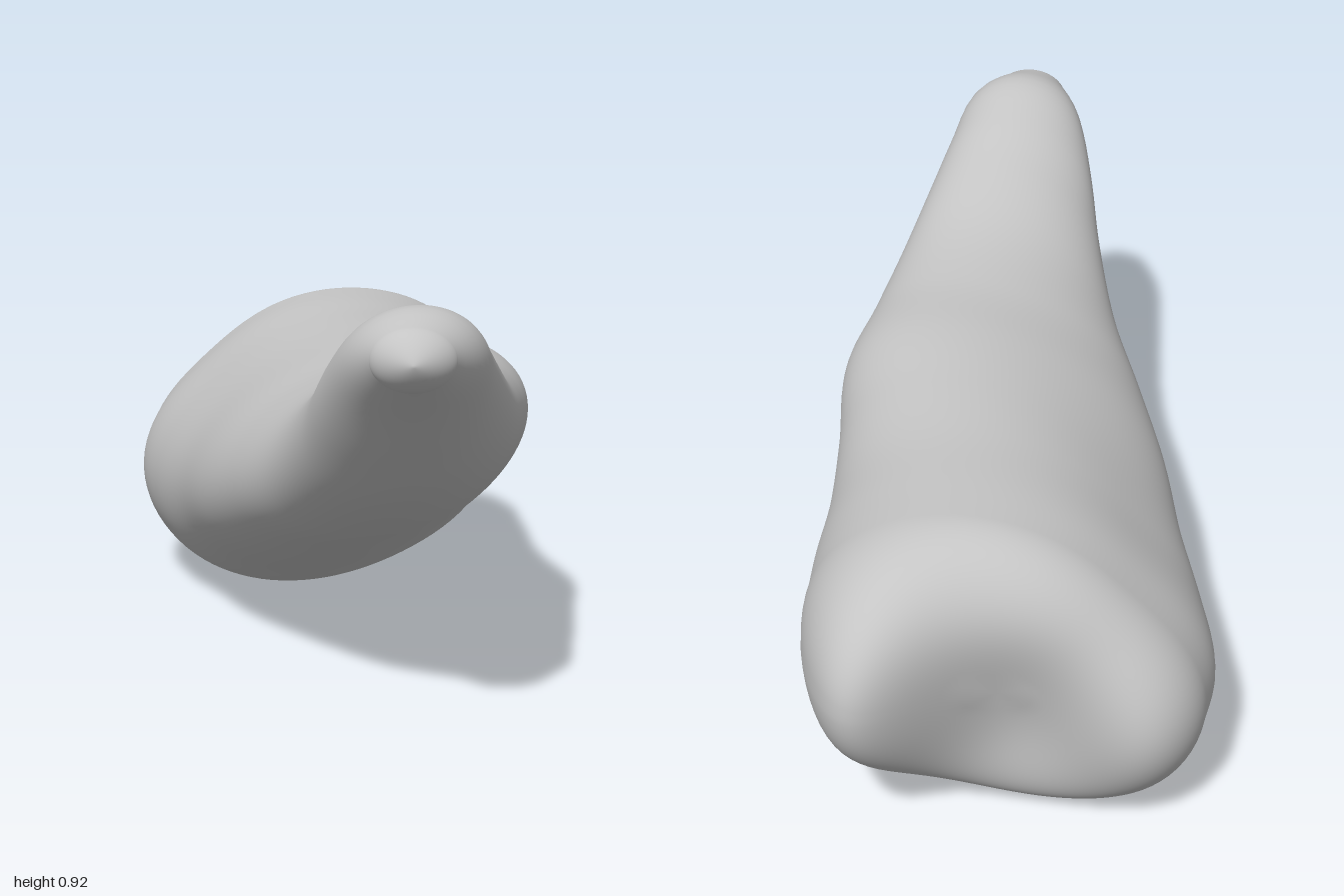
import * as THREE from 'three';
import { mergeVertices } from 'three/addons/utils/BufferGeometryUtils.js';

// Cross-sections along z: [z, xMin, xMax, yMin, yMax, lean]
const SECTIONS = [
  [-0.7, -0.45, 0.38, 0.012, 0.682, 0.2],
  [-0.58, -0.455, 0.393, 0.0, 0.682, 0.2],
  [-0.4, -0.41, 0.4, 0.02, 0.68, 0.23],
  [-0.2, -0.34, 0.42, 0.1, 0.69, 0.3],
  [0.0, -0.28, 0.45, 0.18, 0.705, 0.36],
  [0.2, -0.2, 0.43, 0.265, 0.71, 0.36],
  [0.4, -0.11, 0.405, 0.35, 0.745, 0.32],
  [0.6, -0.04, 0.37, 0.47, 0.825, 0.24],
  [0.72, -0.005, 0.345, 0.575, 0.88, 0.16],
  [0.84, 0.04, 0.318, 0.69, 0.918, 0.08],
  [0.94, 0.095, 0.262, 0.768, 0.895, 0.0],
];
const BACK = SECTIONS[0][0];
const FRONT = SECTIONS[SECTIONS.length - 1][0];
const SIDES = 96;

const spline = new THREE.CubicInterpolant(
  SECTIONS.map((s) => s[0]), SECTIONS.flatMap((s) => s.slice(1)), 5, new Float32Array(5));

const bump = (x, y, cx, cy, rx, ry) => Math.exp(-(((x - cx) / rx) ** 2) - ((y - cy) / ry) ** 2);

// Point on the leaning oval at depth z, scaled about its centre;
// the crown is flatter at its upper right side and fuller opposite
function ovalPoint(z, angle, scale) {
  const [x0, x1, y0, y1, lean] = spline.evaluate(z);
  const crown = 1 - THREE.MathUtils.smoothstep(z, -0.5, 0.1);
  const r = scale * (1 + crown * (0.05 * bump(angle, 0, 5.65, 0, 0.4, 1) - 0.085 * bump(angle, 0, 2.35, 0, 0.5, 1)));
  return [
    (x0 + x1) / 2 + r * ((x1 - x0) / 2) * Math.cos(angle),
    (y0 + y1) / 2 + r * ((y1 - y0) / 2) * Math.sin(angle + lean),
  ];
}

// Depth of the chewing face: two cusps, joined by a ridge above a valley
function crownDepth(x, y) {
  return 0.125
    + 0.22 * bump(x, y, 0.27, 0.38, 0.19, 0.38)
    + 0.08 * bump(x, y, -0.4, 0.24, 0.18, 0.25)
    + 0.03 * bump(x, y, -0.08, 0.56, 0.25, 0.16)
    - 0.04 * bump(x, y, -0.06, 0.2, 0.16, 0.18);
}

function toothGeometry() {
  const rings = [];
  const addRing = (fn) => rings.push(Array.from({ length: SIDES }, (_, j) => fn((j / SIDES) * Math.PI * 2)));

  // Rounded root tip
  for (let i = 0; i < 14; i++) {
    const a = (i / 14) * Math.PI / 2;
    addRing((t) => [...ovalPoint(FRONT, t, Math.sin(a) ** 1.4), FRONT + (1 - FRONT) * Math.cos(a) ** 1.4]);
  }
  // Root and crown body
  for (let i = 0; i <= 64; i++) {
    const z = THREE.MathUtils.lerp(FRONT, BACK, i / 64);
    addRing((t) => [...ovalPoint(z, t, 1), z]);
  }
  // Blunt crown end
  for (let i = 1; i <= 40; i++) {
    const a = (i / 40) * Math.PI / 2;
    const scale = i === 40 ? 0 : Math.cos(a) ** 0.55;
    addRing((t) => {
      const [x, y] = ovalPoint(BACK, t, scale);
      return [x, y, BACK - crownDepth(x, y) * Math.sin(a) ** 0.95];
    });
  }

  const index = [];
  for (let i = 0; i < rings.length - 1; i++) {
    for (let j = 0; j < SIDES; j++) {
      const k = (j + 1) % SIDES;
      const a = i * SIDES + j, b = i * SIDES + k;
      const c = a + SIDES, d = b + SIDES;
      if (i > 0) index.push(a, c, b);
      else index.push(a, c, d);
      if (i > 0 && i < rings.length - 2) index.push(b, c, d);
    }
  }
  const geometry = new THREE.BufferGeometry();
  geometry.setAttribute('position', new THREE.Float32BufferAttribute(rings.flat(2), 3));
  geometry.setIndex(index);
  const merged = mergeVertices(geometry, 1e-5);
  merged.computeVertexNormals();
  return merged;
}

export function createModel() {
  const group = new THREE.Group();
  group.name = 'tooth';
  const enamel = new THREE.MeshStandardMaterial({ color: 0xc4c4c4 });
  enamel.name = 'grey enamel';
  const tooth = new THREE.Mesh(toothGeometry(), enamel);
  tooth.name = 'crownAndRoot';
  group.add(tooth);
  return group;
}
